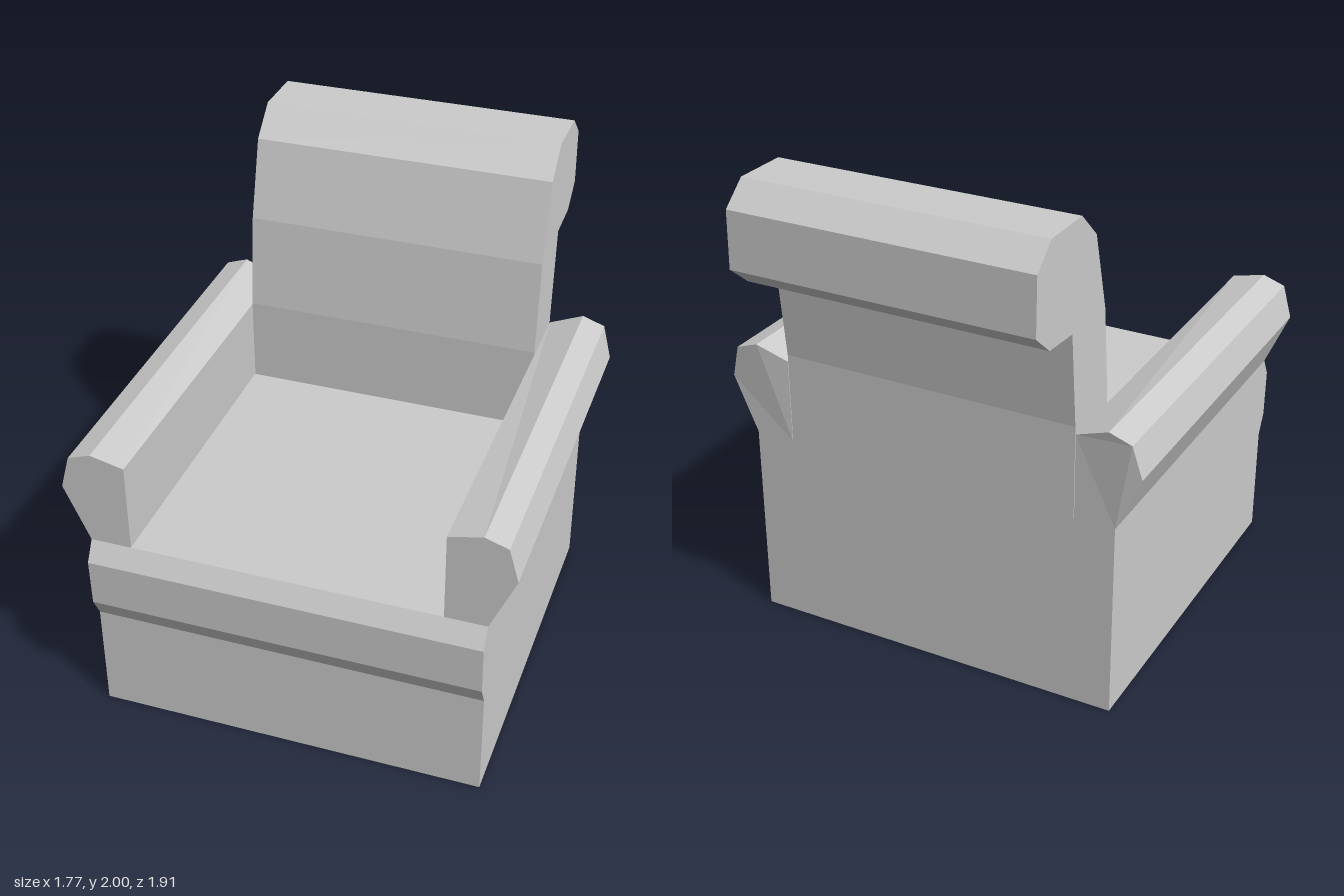
import * as THREE from 'three';

const material = new THREE.MeshStandardMaterial({ color: 0xcccccc, flatShading: true });

// Extrudes a 2D outline, centred on its depth axis
function extrude(points, depth) {
  const shape = new THREE.Shape(points.map(([a, b]) => new THREE.Vector2(a, b)));
  const geometry = new THREE.ExtrudeGeometry(shape, { depth, bevelEnabled: false });
  return geometry.translate(0, 0, -depth / 2);
}

function part(name, geometry) {
  const mesh = new THREE.Mesh(geometry, material);
  mesh.name = name;
  return mesh;
}

// Side outline given as (z, y), swept across x
const acrossX = (points, width) => extrude(points, width).rotateY(-Math.PI / 2);

// Rolled armrest: outline given as (x, y), swept along z
function armrest(side) {
  const outline = [
    [0.62, 0.82], [0.785, 0.82], [0.885, 1.05],
    [0.847, 1.188], [0.755, 1.22], [0.62, 1.188],
  ].map(([x, y]) => [x * side, y]);
  const geometry = extrude(outline, 1.55).translate(0, 0, 0.135);

  // The rear end leans back a little and its inner top edge dips
  const pos = geometry.attributes.position;
  for (let i = 0; i < pos.count; i++) {
    if (pos.getZ(i) > 0) continue;
    const x = Math.abs(pos.getX(i)), y = pos.getY(i);
    if (x > 0.7 && y > 1.1) pos.setZ(i, -0.653);
    else if (x < 0.7 && y > 1.1) pos.setY(i, 1.17);
  }
  geometry.computeVertexNormals();
  return part(side > 0 ? 'leftArmrest' : 'rightArmrest', geometry);
}

export function createModel() {
  const chair = new THREE.Group();
  chair.name = 'armchair';

  // Base block with the seat cushion bulging over the front
  chair.add(part('seatBase', acrossX([
    [-0.64, 0], [0.91, 0], [0.91, 0.455], [0.953, 0.54],
    [0.958, 0.74], [0.91, 0.82], [-0.64, 0.82],
  ], 1.57)));

  // Backrest curling into a rolled headrest
  chair.add(part('backrest', acrossX([
    [-0.64, 0.82], [-0.37, 0.82], [-0.37, 1.18], [-0.41, 1.57],
    [-0.5, 1.89], [-0.62, 2], [-0.85, 2], [-0.952, 1.91],
    [-0.957, 1.68], [-0.855, 1.595], [-0.68, 1.583], [-0.64, 1.2],
  ], 1.236)));

  for (const side of [1, -1]) chair.add(armrest(side));
  return chair;
}
